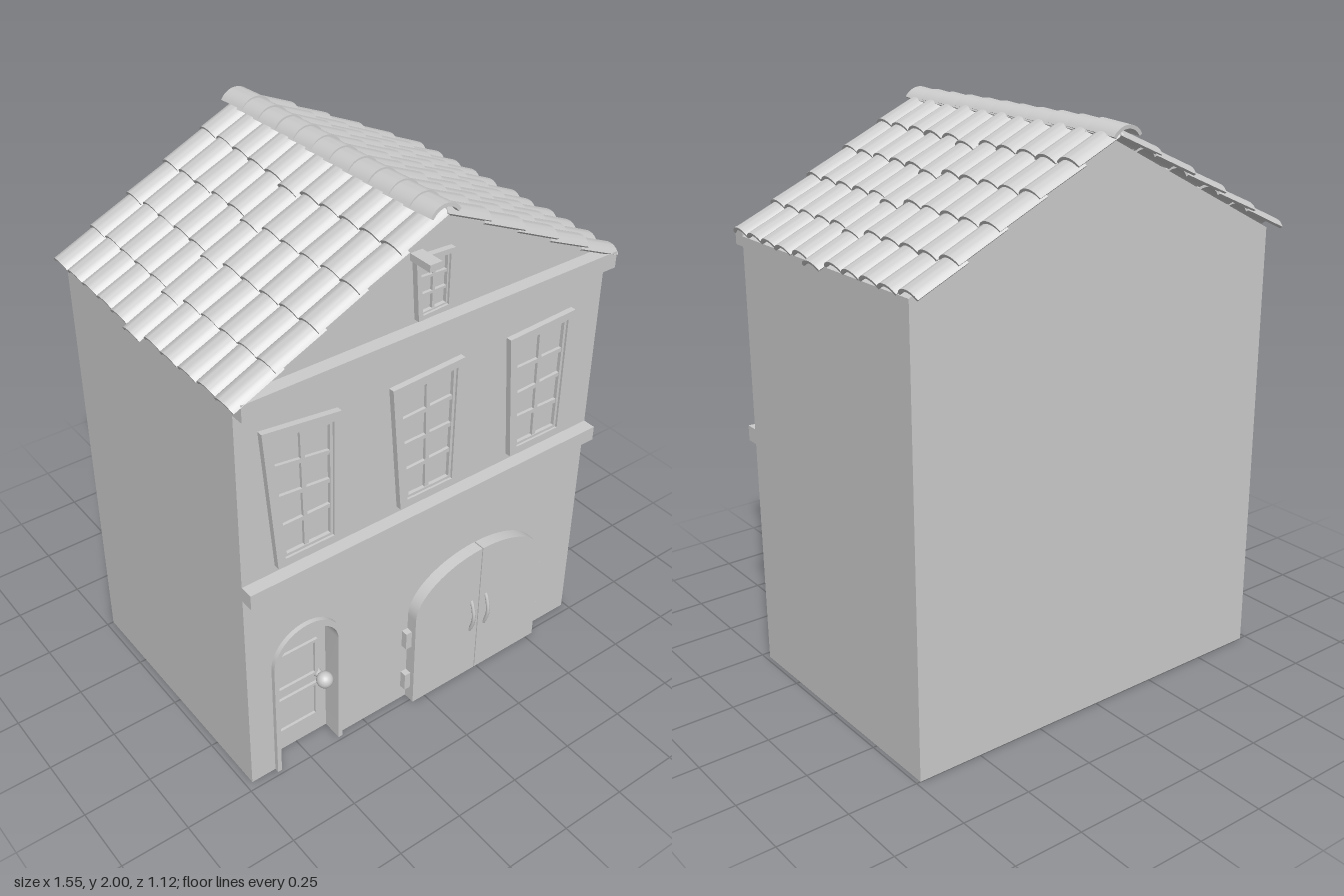
import * as THREE from 'three';
import { toCreasedNormals } from 'three/addons/utils/BufferGeometryUtils.js';

const WALL = 0.47, BACK = -0.5;
const mat = new THREE.MeshStandardMaterial({ color: 0xcccccc });
const thin = new THREE.MeshStandardMaterial({ color: 0xcccccc, side: THREE.DoubleSide });

let seed = 7;
const jitter = (a) => { seed = (seed * 16807) % 2147483647; return (seed / 2147483647 - 0.5) * 2 * a; };

function add(parent, name, geo, x = 0, y = 0, z = 0, material = mat) {
  const m = new THREE.Mesh(geo, material);
  m.name = name;
  m.position.set(x, y, z);
  parent.add(m);
  return m;
}

// Box given by its min and max corners
function box(parent, name, x0, x1, y0, y1, z0, z1) {
  return add(parent, name, new THREE.BoxGeometry(x1 - x0, y1 - y0, z1 - z0),
    (x0 + x1) / 2, (y0 + y1) / 2, (z0 + z1) / 2);
}

// Arched outline from the left foot over the top to the right foot
function arch(cx, hw, spring, rise, n = 24) {
  const p = [new THREE.Vector2(cx - hw, 0)];
  for (let i = 0; i <= n; i++) {
    const a = Math.PI * (1 - i / n);
    p.push(new THREE.Vector2(cx + hw * Math.cos(a), spring + rise * Math.sin(a)));
  }
  p.push(new THREE.Vector2(cx + hw, 0));
  return p;
}

function slab(points, depth, holes = []) {
  const s = new THREE.Shape(points);
  holes.forEach((h) => s.holes.push(new THREE.Path(h)));
  return toCreasedNormals(new THREE.ExtrudeGeometry(s, { depth, bevelEnabled: false }), 0.6);
}

// Walls and roof deck, open underneath, with openings for door and gate
function buildWalls(g) {
  const roof = [[0.735, 0], [0.735, 1.575], [0, 1.95], [-0.725, 1.575], [-0.725, 0]].map((p) => new THREE.Vector2(...p));
  const front = [...roof, ...arch(-0.4915, 0.124, 0.483, 0.112), ...arch(0.24, 0.285, 0.4, 0.17)];
  add(g, 'frontWall', new THREE.ShapeGeometry(new THREE.Shape(front)), 0, 0, WALL, thin);
  add(g, 'backWall', new THREE.ShapeGeometry(new THREE.Shape(roof)).rotateY(Math.PI).scale(-1, 1, 1), 0, 0, BACK, thin)
    .geometry.index.array.reverse();
  const pos = [];
  for (let i = 0; i < roof.length - 1; i++) {
    const a = roof[i], b = roof[i + 1];
    pos.push(a.x, a.y, WALL, a.x, a.y, BACK, b.x, b.y, BACK, a.x, a.y, WALL, b.x, b.y, BACK, b.x, b.y, WALL);
  }
  const sides = new THREE.BufferGeometry();
  sides.setAttribute('position', new THREE.Float32BufferAttribute(pos, 3));
  sides.computeVertexNormals();
  add(g, 'sideWallsAndRoofDeck', sides, 0, 0, 0, thin);
  box(g, 'lowerBand', -0.725, 0.735, 0.84, 0.895, WALL, 0.518);
  box(g, 'upperBand', -0.725, 0.735, 1.54, 1.6, WALL, 0.518);
  box(g, 'hoistBeam', -0.1, -0.055, 1.822, 1.846, WALL, 0.56);
}

// Crooked window: corners go bottom left, bottom right, top right, top left
function buildWindow(g, name, corners, border, rows) {
  const w = new THREE.Group();
  w.name = name;
  g.add(w);
  const quad = corners.map((c) => new THREE.Vector2(...c));
  const inset = (d) => quad.map((p, i) => new THREE.Vector2(
    p.x + (i === 0 || i === 3 ? d : -d), p.y + (i < 2 ? d : -d)));
  const inner = inset(border), sash = inset(border * 1.35);
  add(w, 'frame', slab(quad, 0.022, [inner]), 0, 0, WALL - 0.001);
  add(w, 'sash', slab(inner, 0.014, [sash]), 0, 0, WALL - 0.001);
  const at = (u, v) => sash[0].clone().lerp(sash[1], u).lerp(sash[3].clone().lerp(sash[2], u), v);
  const bar = (a, b) => {
    const m = add(w, 'glazingBar', new THREE.BoxGeometry(a.distanceTo(b), border * 0.55, 0.012),
      (a.x + b.x) / 2, (a.y + b.y) / 2, WALL + 0.005);
    m.rotation.z = Math.atan2(b.y - a.y, b.x - a.x);
  };
  bar(at(0.46, 0), at(0.52, 1));
  for (let r = 1; r < rows; r++) bar(at(0, r / rows + jitter(0.012)), at(1, r / rows + jitter(0.012)));
}

// Recessed arched door with frame, panels and knob
function buildDoor(g) {
  const d = new THREE.Group();
  d.name = 'door';
  g.add(d);
  const cx = -0.4915, z = 0.41;
  const inner = arch(cx, 0.122, 0.483, 0.11);
  const ring = [...arch(cx, 0.138, 0.483, 0.137), ...inner.slice().reverse()];
  add(d, 'doorFrame', slab(ring, 0.487 - z), 0, 0, z);
  add(d, 'doorLeaf', slab(inner, 0.02), 0, 0, z - 0.02);
  for (const [y0, y1] of [[0.09, 0.25], [0.29, 0.455]]) {
    const outline = (e) => [[-0.58 + e, y0 + e], [-0.408 - e, y0 + e], [-0.408 - e, y1 - e], [-0.58 + e, y1 - e]]
      .map((p) => new THREE.Vector2(...p));
    add(d, 'panelMoulding', slab(outline(0), 0.01, [outline(0.012)]), 0, 0, z);
  }
  add(d, 'knobStem', new THREE.CylinderGeometry(0.012, 0.016, 0.04, 12).rotateX(Math.PI / 2), -0.405, 0.285, z + 0.015);
  add(d, 'knob', new THREE.SphereGeometry(0.03, 20, 14), -0.405, 0.285, z + 0.045);
}

// Wide gate of two leaves with hinges and bowed handles
function buildGate(g) {
  const gate = new THREE.Group();
  gate.name = 'gate';
  g.add(gate);
  const outline = arch(0.24, 0.295, 0.4, 0.182, 32);
  const gap = 0.002;
  for (const s of [-1, 1]) {
    const half = outline.filter((p) => s * (p.x - 0.24) > 0.001);
    const edge = [new THREE.Vector2(0.24 + s * gap, 0.582), new THREE.Vector2(0.24 + s * gap, 0)];
    const leaf = s < 0 ? [...half, ...edge] : [...edge.reverse(), ...half];
    add(gate, 'gateLeaf', slab(leaf, 0.05), 0, 0, 0.464);
    for (const y of [0.0975, 0.3]) {
      const x = 0.24 + s * 0.305;
      box(gate, 'hinge', x - 0.0145, x + 0.0145, y - 0.036, y + 0.036, WALL - 0.005, 0.495);
    }
    const hx = 0.24 + s * 0.034;
    const path = new THREE.CatmullRomCurve3([[0.208, 0.51], [0.23, 0.52], [0.28, 0.53], [0.33, 0.52], [0.352, 0.51]]
      .map(([y, z]) => new THREE.Vector3(hx, y, z)));
    add(gate, 'gateHandle', new THREE.TubeGeometry(path, 16, 0.007, 8));
  }
}

// Barrel tile: thin arc running along +z, crest at y = 0
function tileGeometry(hw, rise, length, t = 0.01) {
  const r = (hw * hw + rise * rise) / (2 * rise), a = Math.asin(hw / r), s = new THREE.Shape();
  s.absarc(0, -r, r, Math.PI / 2 - a, Math.PI / 2 + a, false);
  s.absarc(0, -r, r - t, Math.PI / 2 + a, Math.PI / 2 - a, true);
  return toCreasedNormals(new THREE.ExtrudeGeometry(s, { depth: length, bevelEnabled: false, curveSegments: 8 }), 0.6);
}

function buildRoof(g) {
  const tile = tileGeometry(0.05, 0.024, 0.19).translate(0, 0, -0.19).rotateY(Math.PI / 2);
  for (const s of [1, -1]) {
    const slope = new THREE.Group();
    slope.name = s > 0 ? 'leftRoofSlope' : 'rightRoofSlope';
    slope.rotation.y = s > 0 ? 0 : Math.PI;
    g.add(slope);
    for (let row = 0; row < 11; row++) {
      const z = -0.506 + row * 0.0975;
      const shift = row === 5 ? 0.02 : jitter(0.004);
      for (let i = 0; i < 5; i++) {
        const m = add(slope, 'roofTile', tile, 0.18 + 0.144 * i + shift + jitter(0.003),
          1.907 - 0.0755 * i - shift * 0.5, s * z);
        m.rotation.set(0, jitter(0.012), -0.42 + jitter(0.012));
      }
    }
  }
  // Overlapping ridge caps
  const cap = tileGeometry(0.057, 0.032, 0.125, 0.012);
  for (let i = 0; i < 11; i++) {
    const m = add(g, 'ridgeTile', cap, -0.017 + jitter(0.002), 1.992, -0.565 + i * 0.096);
    m.rotation.x = -0.06;
  }
}

export function createModel() {
  const g = new THREE.Group();
  g.name = 'townHouse';
  buildWalls(g);
  buildWindow(g, 'rightWindow', [[-0.602, 0.92], [-0.36, 0.92], [-0.36, 1.415], [-0.645, 1.45]], 0.028, 4);
  buildWindow(g, 'middleWindow', [[-0.122, 0.92], [0.122, 0.92], [0.122, 1.415], [-0.165, 1.402]], 0.028, 4);
  buildWindow(g, 'leftWindow', [[0.355, 0.92], [0.6, 0.92], [0.6, 1.415], [0.315, 1.402]], 0.028, 4);
  buildWindow(g, 'atticWindow', [[-0.075, 1.615], [0.056, 1.62], [0.056, 1.825], [-0.092, 1.832]], 0.016, 3);
  buildDoor(g);
  buildGate(g);
  buildRoof(g);
  return g;
}
